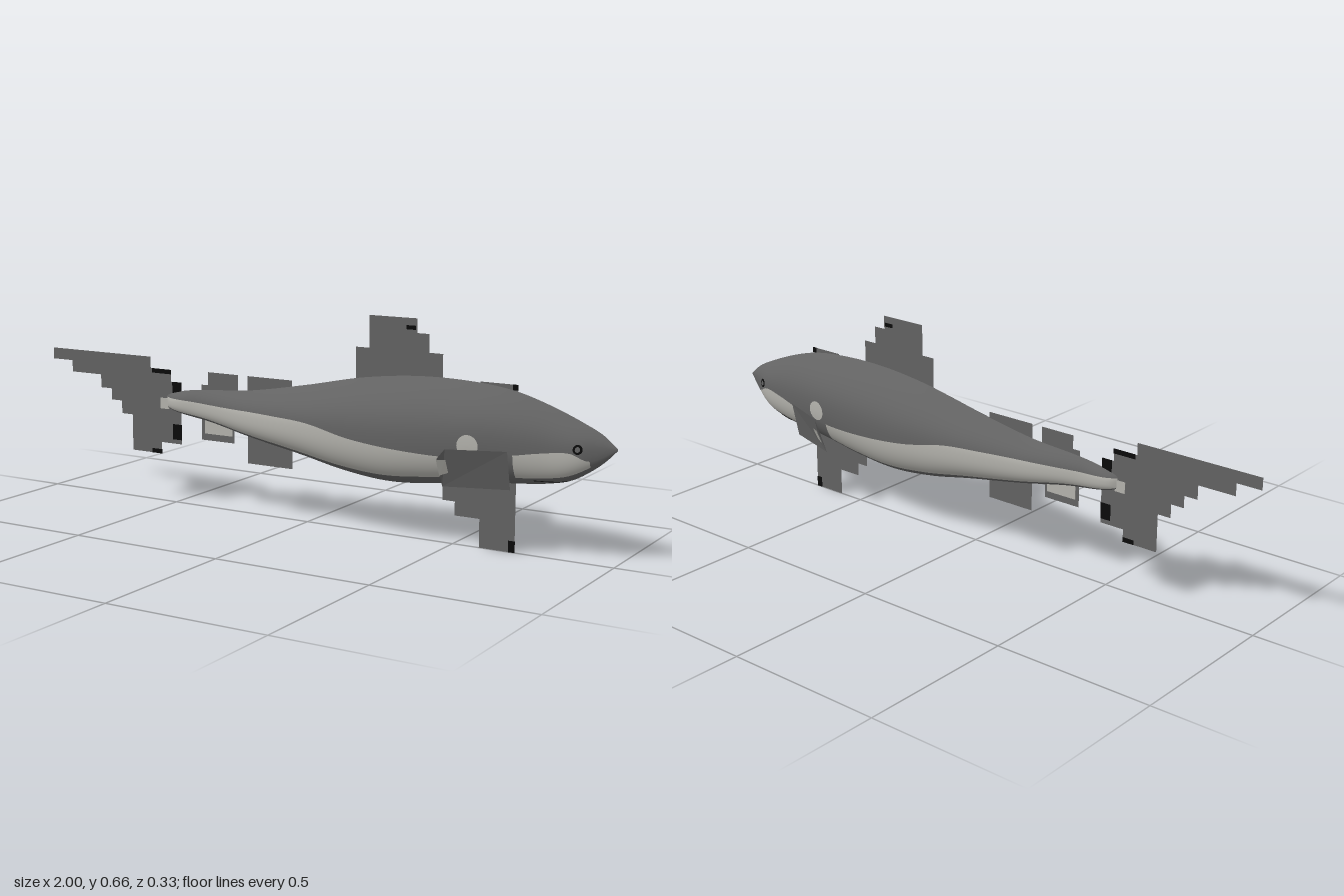
import * as THREE from 'three';

// Smooth curve through [x, value] pairs
function curve(pairs) {
  const f = new THREE.CubicInterpolant(pairs.map(p => p[0]), pairs.map(p => p[1]), 1);
  return x => f.evaluate(x)[0];
}

// Body outline along x: crest, keel and half width
const X0 = -0.53, X1 = 1;
const crest = curve([[-0.53, 0.35], [-0.5, 0.362], [-0.2, 0.395], [0, 0.43], [0.2, 0.47], [0.4, 0.49],
  [0.6, 0.485], [0.7, 0.47], [0.8, 0.44], [0.9, 0.4], [0.96, 0.37], [1, 0.337]]);
const keel = curve([[-0.53, 0.312], [-0.5, 0.302], [-0.35, 0.278], [-0.2, 0.247], [0, 0.212], [0.15, 0.182],
  [0.3, 0.167], [0.45, 0.178], [0.6, 0.2], [0.7, 0.207], [0.8, 0.218], [0.87, 0.235], [0.93, 0.27], [0.97, 0.302], [1, 0.333]]);
const width = curve([[-0.53, 0], [-0.515, 0.012], [-0.4, 0.024], [-0.2, 0.056], [0, 0.088], [0.2, 0.107],
  [0.35, 0.111], [0.5, 0.106], [0.6, 0.099], [0.7, 0.084], [0.8, 0.065], [0.9, 0.045], [0.94, 0.027], [1, 0]]);
// Upper edge of the pale flank
const flank = curve([[-0.53, 0.345], [-0.3, 0.338], [-0.1, 0.336], [0.05, 0.33], [0.2, 0.302], [0.4, 0.284],
  [0.55, 0.282], [0.72, 0.303], [0.8, 0.315], [0.88, 0.32], [0.93, 0.3], [1, 0.335]]);

// Half width of the body at any x and y
function bodyZ(x, y) {
  const lo = keel(x), hi = crest(x), mid = lo + 0.45 * (hi - lo);
  const t = Math.min(1, y > mid ? (y - mid) / (hi - mid) : (mid - y) / (mid - lo));
  const shape = y > mid ? 1 - t ** 2.5 : Math.sqrt(1 - t ** 2.4);
  return Math.max(0, width(x)) * shape;
}

function buildGeometry(points, indices) {
  const g = new THREE.BufferGeometry();
  g.setAttribute('position', new THREE.Float32BufferAttribute(points, 3));
  g.setIndex(indices);
  g.computeVertexNormals();
  return g;
}

// Body lofted in strips: dark keel, flank, dark back
function bodyGeometry() {
  const N = 153, S = 10, rows = S * 3, points = [], dark = [], pale = [];
  for (const side of [1, -1]) {
    const start = points.length / 3;
    for (let i = 0; i <= N; i++) {
      const x = X0 + (X1 - X0) * i / N, lo = keel(x), hi = Math.max(crest(x), lo + 0.001), h = hi - lo;
      const a = lo + 0.1 * h;
      const b = THREE.MathUtils.clamp(flank(x), a + 0.05 * h, hi - 0.1 * h);
      for (let j = 0; j <= rows; j++) {
        const s = (j % S) / S;
        const y = j < S ? lo + (a - lo) * s * s : j < 2 * S ? a + (b - a) * s : j < rows ? b + (hi - b) * s : hi;
        points.push(x, y, side * bodyZ(x, y));
      }
    }
    for (let i = 0; i < N; i++) {
      const x = X0 + (X1 - X0) * (i + 0.5) / N;
      const marked = x < 0.55 || (x > 0.72 && x < 0.93);
      for (let j = 0; j < rows; j++) {
        const a = start + i * (rows + 1) + j, b = a + rows + 1;
        const list = marked && j >= S && j < 2 * S ? pale : dark;
        if (side > 0) list.push(a, b, b + 1, a, b + 1, a + 1);
        else list.push(a, b + 1, b, a, a + 1, b + 1);
      }
    }
  }
  const g = buildGeometry(points, [...dark, ...pale]);
  g.addGroup(0, dark.length, 0);
  g.addGroup(dark.length, pale.length, 1);
  return g;
}

// Oval marking lying just above the skin
function patchGeometry(cx, cy, rx, ry, side, lift) {
  const R = 4, A = 24, points = [], indices = [];
  for (let r = 0; r <= R; r++) for (let k = 0; k <= A; k++) {
    const t = k / A * Math.PI * 2;
    const x = cx + Math.cos(t) * rx * r / R, y = cy + Math.sin(t) * ry * r / R;
    points.push(x, y, side * (bodyZ(x, y) + lift));
  }
  for (let r = 0; r < R; r++) for (let k = 0; k < A; k++) {
    const a = r * (A + 1) + k, b = a + A + 1;
    if (side > 0) indices.push(a, b, b + 1, a, b + 1, a + 1);
    else indices.push(a, b + 1, b, a, a + 1, b + 1);
  }
  return buildGeometry(points, indices);
}

export function createModel() {
  const group = new THREE.Group();
  const material = (name, color, side = THREE.FrontSide) => {
    const m = new THREE.MeshStandardMaterial({ color, side });
    m.name = name;
    return m;
  };
  const grey = material('slateGrey', 0x626262, THREE.DoubleSide);
  const pale = material('paleGrey', 0xb3b2ac, THREE.DoubleSide);
  const black = material('black', 0x0a0a0a, THREE.DoubleSide);
  const add = (name, geometry, mat) => {
    const m = new THREE.Mesh(geometry, mat);
    m.name = name;
    group.add(m);
    return m;
  };

  add('body', bodyGeometry(), [grey, pale]);

  // Flat stepped fins in the middle plane
  const fin = (name, pts) =>
    add(name, new THREE.ShapeGeometry(new THREE.Shape(pts.map(p => new THREE.Vector2(...p)))), grey);
  fin('dorsalFin', [[0.17, 0.42], [0.17, 0.56], [0.215, 0.56], [0.215, 0.658], [0.375, 0.658], [0.375, 0.615],
    [0.415, 0.615], [0.415, 0.56], [0.46, 0.56], [0.46, 0.42]]);
  fin('ventralFin', [[0.465, 0.3], [0.465, 0.128], [0.505, 0.128], [0.505, 0.086], [0.585, 0.086], [0.585, 0],
    [0.698, 0], [0.698, 0.49], [0.58, 0.49], [0.58, 0.3]]);
  fin('rearFin', [[-0.22, 0.16], [-0.055, 0.16], [-0.055, 0.438], [-0.22, 0.438]]);
  fin('smallRearFin', [[-0.395, 0.218], [-0.27, 0.218], [-0.27, 0.26], [-0.255, 0.26], [-0.255, 0.438],
    [-0.37, 0.438], [-0.37, 0.396], [-0.395, 0.396]]);
  fin('tailFin', [[-1, 0.47], [-0.595, 0.47], [-0.595, 0.433], [-0.515, 0.433], [-0.515, 0.395], [-0.475, 0.395],
    [-0.475, 0.193], [-0.555, 0.193], [-0.555, 0.155], [-0.672, 0.155], [-0.672, 0.273], [-0.715, 0.273],
    [-0.715, 0.315], [-0.757, 0.315], [-0.757, 0.352], [-0.8, 0.352], [-0.8, 0.395], [-0.92, 0.395],
    [-0.92, 0.433], [-1, 0.433]]);

  // Thin spots on the fins: centre x, y, width, height
  const spot = (name, mat, x, y, w, h) =>
    add(name, new THREE.BoxGeometry(w, h, 0.003), mat).position.set(x, y, 0);
  spot('dorsalSpot', black, 0.355, 0.63, 0.03, 0.012);
  spot('ventralTipSpot', black, 0.688, 0.017, 0.02, 0.034);
  spot('ventralTopSpot', black, 0.69, 0.482, 0.016, 0.016);
  for (const [x, y, w, h] of [[-0.552, 0.426, 0.075, 0.014], [-0.492, 0.377, 0.034, 0.036],
    [-0.492, 0.232, 0.034, 0.05], [-0.574, 0.162, 0.038, 0.014]]) spot('tailSpot', black, x, y, w, h);
  spot('tailPaleMark', pale, -0.54, 0.322, 0.035, 0.035);
  spot('rearPaleMark', pale, -0.33, 0.262, 0.105, 0.045);

  for (const side of [1, -1]) {
    const label = side > 0 ? 'left' : 'right';
    // Pectoral fin: a plate swept back and outward
    const plate = (name, mat, corners) => {
      const points = corners.flatMap(([x, y, z]) => [x, y, z * side]);
      const indices = [];
      for (let i = 1; i < corners.length - 1; i++)
        indices.push(0, ...(side > 0 ? [i, i + 1] : [i + 1, i]));
      add(name, buildGeometry(points, indices).toNonIndexed(), mat).geometry.computeVertexNormals();
    };
    plate(label + 'PectoralFin', grey, [[0.525, 0.2, 0.123], [0.71, 0.2, 0.067], [0.71, 0.315, 0.093],
      [0.545, 0.315, 0.152], [0.525, 0.287, 0.163]]);
    plate(label + 'PectoralMark', pale, [[0.525, 0.235, 0.143], [0.55, 0.245, 0.137], [0.55, 0.285, 0.156],
      [0.525, 0.285, 0.166]]);
    // Pale mark above the fin and the eye
    add(label + 'ShoulderMark', patchGeometry(0.59, 0.32, 0.032, 0.032, side, 0.002), pale);
    add(label + 'Eye', patchGeometry(0.9, 0.333, 0.013, 0.014, side, 0.002), black);
    add(label + 'Pupil', patchGeometry(0.9, 0.333, 0.007, 0.008, side, 0.003), grey);
  }

  // Mouth line curving under the jaw
  const mouth = [];
  for (let i = -6; i <= 6; i++) {
    const x = 0.86 - 0.09 * (i / 6) ** 2, y = keel(x) + 0.002 + 0.014 * (i / 6) ** 2;
    mouth.push(new THREE.Vector3(x, y, Math.sign(i) * bodyZ(x, y)));
  }
  add('mouth', new THREE.TubeGeometry(new THREE.CatmullRomCurve3(mouth), 40, 0.0015, 5), black);
  return group;
}
